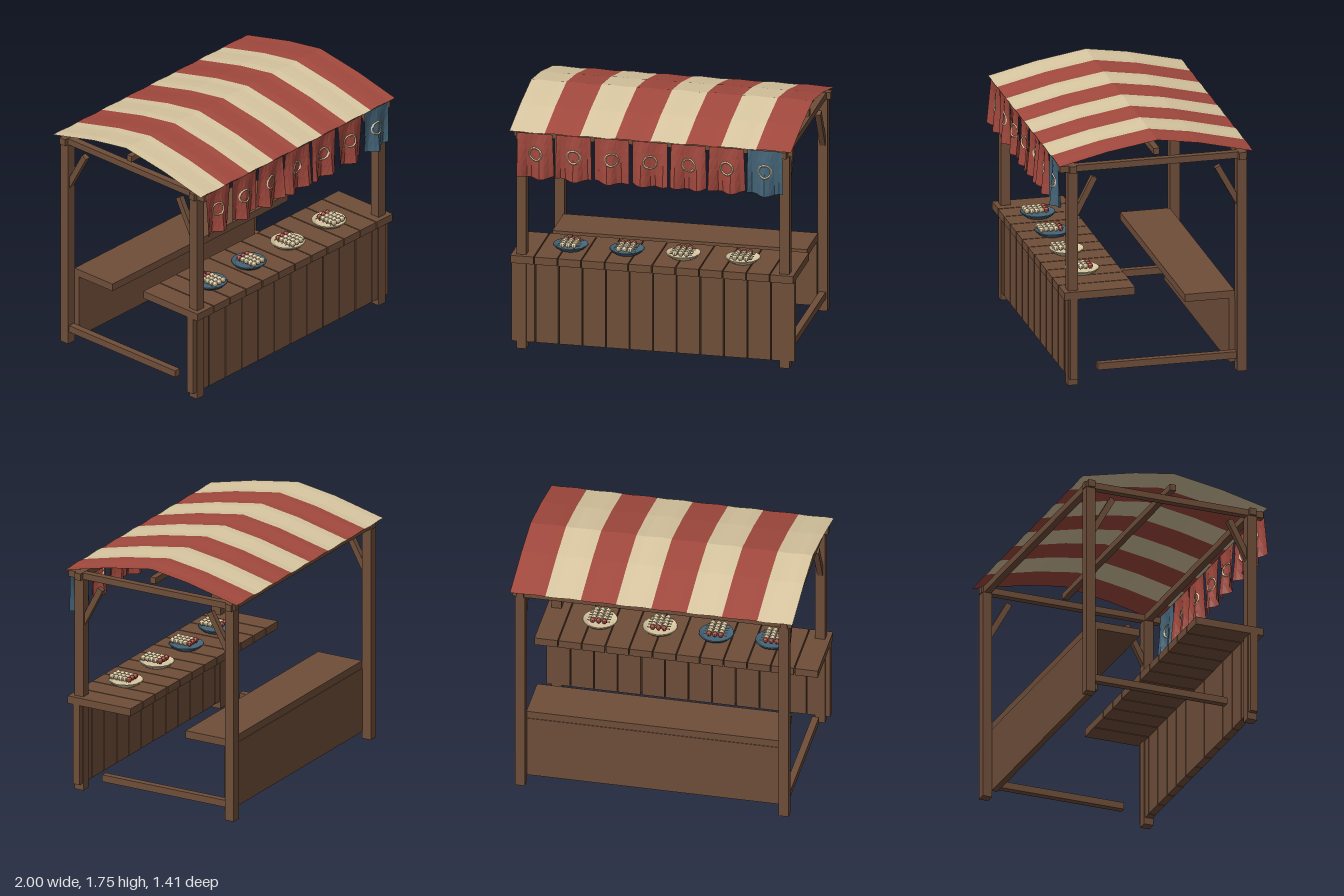
import * as THREE from 'three';

const mat = (name, color, side = THREE.FrontSide) => {
  const m = new THREE.MeshStandardMaterial({ color, side, flatShading: true });
  m.name = name;
  return m;
};

export function createModel() {
  const model = new THREE.Group();
  model.name = 'marketStall';
  const wood = mat('brown wood', 0x6f4e39);
  const red = mat('red cloth', 0xa2493e, THREE.DoubleSide);
  const cream = mat('cream', 0xd8c6a0, THREE.DoubleSide);
  const blue = mat('blue', 0x456579, THREE.DoubleSide);

  const add = (name, geo, material, x = 0, y = 0, z = 0, parent = model) => {
    const m = new THREE.Mesh(geo, material);
    m.name = name;
    m.position.set(x, y, z);
    parent.add(m);
    return m;
  };
  // Box given by its limits on each axis
  const box = (name, [x0, x1], [y0, y1], [z0, z1]) =>
    add(name, new THREE.BoxGeometry(x1 - x0, y1 - y0, z1 - z0), wood,
      (x0 + x1) / 2, (y0 + y1) / 2, (z0 + z1) / 2);

  // Frame: posts, side rails and corner braces
  for (const s of [-1, 1]) {
    const span = (half) => [s * 0.93 - half, s * 0.93 + half];
    box('frontPost', span(0.035), [0, 1.55], [0.545, 0.615]);
    box('backPost', span(0.035), [0, 1.55], [-0.66, -0.59]);
    box('topSideRail', span(0.025), [1.552, 1.598], [-0.665, 0.67]);
    box('lowerSideRail', span(0.024), [0.09, 0.14], [-0.6, 0.4]);
    for (const [zPost, zTop] of [[0.575, 0.42], [-0.62, -0.455]]) {
      const dz = zTop - zPost, dy = 0.3;
      const brace = add('cornerBrace', new THREE.BoxGeometry(0.04, Math.hypot(dz, dy), 0.042),
        wood, s * 0.93, 1.2 + dy / 2, (zPost + zTop) / 2);
      brace.rotation.x = Math.atan2(dz, dy);
    }
  }
  box('frontTopRail', [-0.985, 0.985], [1.55, 1.6], [0.555, 0.605]);
  box('backTopRail', [-0.985, 0.985], [1.55, 1.6], [-0.65, -0.6]);
  box('ridgePole', [-0.97, 0.97], [1.635, 1.68], [-0.037, 0.007]);

  // Counter: top planks and front boards
  const n = 12, w = 2 / n;
  for (let i = 0; i < n; i++) {
    const xs = [-1 + i * w + (i ? 0.004 : 0), -1 + (i + 1) * w - (i < n - 1 ? 0.004 : 0)];
    box('counterPlank', xs, [0.635, 0.69], [0.145, 0.65]);
    box('counterFrontBoard', xs, [0.05, 0.64], [0.553, 0.607]);
  }

  // Rear bench
  box('benchSeat', [-0.9, 0.9], [0.515, 0.57], [-0.588, -0.235]);
  box('benchBackBoard', [-0.9, 0.9], [0.05, 0.516], [-0.592, -0.548]);

  // Striped canopy, one cloth strip per stripe with a faint ripple
  const profile = [[0.68, 1.61], [0.34, 1.69], [-0.015, 1.748], [-0.31, 1.703], [-0.7, 1.61]];
  for (let i = 0; i < 8; i++) {
    const geo = new THREE.PlaneGeometry(1, 1, 4, profile.length - 1);
    const p = geo.attributes.position;
    for (let k = 0; k < p.count; k++) {
      const x = -1 + 0.249 * (i + p.getX(k) + 0.5);
      const [z, y] = profile[Math.round((0.5 + p.getY(k)) * (profile.length - 1))];
      p.setXYZ(k, x, y + 0.003 * Math.sin(x * 25), z);
    }
    // Rows run from back to front so the face points upward
    geo.computeVertexNormals();
    geo.index.array.reverse();
    add('canopyStripe', geo, i % 2 ? red : cream);
  }

  // Hanging banners: pleats deepen toward a rounded hem
  const top = 1.605, drop = 0.315;
  const fold = (x, y, phase) =>
    0.03 * Math.max(0, (top - y) / drop) * Math.sin((x / 0.255) * Math.PI * 3 + phase);
  for (let i = 0; i < 7; i++) {
    const phase = i * 1.3;
    const banner = new THREE.Group();
    banner.name = 'banner';
    banner.position.set(-0.818 + i * 0.2705, 0, 0.675);
    model.add(banner);

    const cloth = new THREE.PlaneGeometry(0.255, 1, 8, 4);
    const p = cloth.attributes.position;
    for (let k = 0; k < p.count; k++) {
      const x = p.getX(k), v = 0.5 - p.getY(k);
      const y = top - v * (drop + 0.016 * (1 - (x / 0.1275) ** 2));
      p.setXYZ(k, x * (0.96 + 0.04 * v), y, fold(x, y, phase));
    }
    cloth.computeVertexNormals();
    add('bannerCloth', cloth, i === 6 ? blue : red, 0, 0, 0, banner);

    // Ring emblem following the pleats
    const ring = new THREE.TorusGeometry(0.045, 0.0065, 4, 20);
    ring.translate(0, 1.453, 0);
    const r = ring.attributes.position;
    for (let k = 0; k < r.count; k++) {
      r.setZ(k, r.getZ(k) + fold(r.getX(k), r.getY(k), phase));
    }
    ring.computeVertexNormals();
    add('bannerRing', ring, cream, 0, 0, 0, banner);
  }

  // Plates with rows of skewered dumplings
  const dish = new THREE.LatheGeometry([[0, 0], [0.08, 0], [0.105, 0.015], [0.123, 0.033],
    [0.12, 0.038], [0.09, 0.022], [0, 0.02]].map(([x, y]) => new THREE.Vector2(x, y)), 20);
  const ball = new THREE.SphereGeometry(0.02, 8, 6);
  const stick = new THREE.CylinderGeometry(0.004, 0.004, 0.16, 5).rotateZ(Math.PI / 2);
  [-0.623, -0.225, 0.173, 0.595].forEach((x, i) => {
    const serving = new THREE.Group();
    serving.name = 'serving';
    serving.position.set(x, 0.69, 0.423);
    model.add(serving);
    add('plate', dish, i < 2 ? blue : cream, 0, 0, 0, serving);
    for (let row = 0; row < 5; row++) {
      const z = 0.085 - row * 0.034;
      add('skewer', stick, cream, 0, 0.05, z, serving);
      for (let k = -1; k <= 1; k++) {
        add('dumpling', ball, row === 4 ? red : cream, k * 0.041, 0.054, z, serving);
      }
    }
  });

  return model;
}
